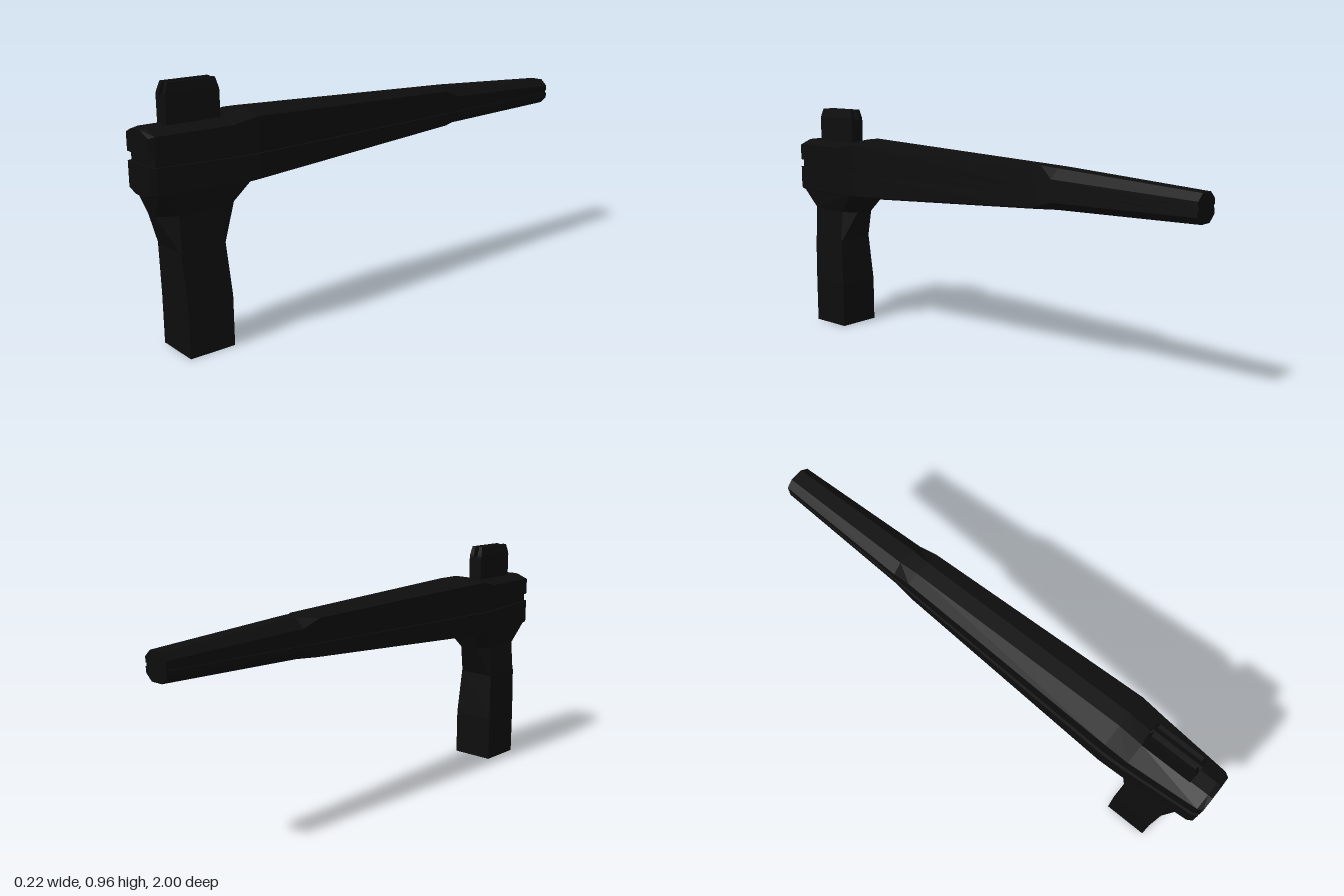
import * as THREE from 'three';

const material = new THREE.MeshStandardMaterial({ color: 0x0d0d0d, flatShading: true });

// Skin a list of closed cross-sections (arrays of [x, y, z]) and cap both ends.
function loft(name, rings) {
  const n = rings[0].length, tris = [];
  const centre = r => [0, 1, 2].map(k => r.reduce((s, p) => s + p[k], 0) / n);
  for (let i = 0; i < rings.length - 1; i++) {
    for (let j = 0; j < n; j++) {
      const a = rings[i][j], b = rings[i][(j + 1) % n];
      const c = rings[i + 1][(j + 1) % n], d = rings[i + 1][j];
      tris.push([a, b, c], [a, c, d]);
    }
  }
  const first = rings[0], last = rings[rings.length - 1];
  for (let j = 0; j < n; j++) {
    const k = (j + 1) % n;
    tris.push([first[k], first[j], centre(first)], [last[j], last[k], centre(last)]);
  }
  // Turn the faces outward if the enclosed volume comes out negative
  const v = p => new THREE.Vector3(...p);
  const volume = tris.reduce((s, [a, b, c]) => s + v(a).dot(v(b).cross(v(c))), 0);
  if (volume < 0) tris.forEach(t => t.reverse());
  const geometry = new THREE.BufferGeometry();
  geometry.setAttribute('position', new THREE.Float32BufferAttribute(tris.flat(2), 3));
  geometry.computeVertexNormals();
  const mesh = new THREE.Mesh(geometry, material);
  mesh.name = name;
  return mesh;
}

// Mirror a right-hand outline of [x, y] points into a closed section at depth z.
const mirrored = (half, z) => [
  ...half.map(([x, y]) => [x, y, z]),
  ...half.slice().reverse().map(([x, y]) => [-x, y, z]),
];

// Rectangle lying at height y.
const rect = (y, x0, x1, z0, z1) => [[x0, y, z0], [x1, y, z0], [x1, y, z1], [x0, y, z1]];

// Beam stations: z, half width, ridge half width, ridge y, shoulder y,
// groove top, groove bottom, lower shoulder y, bottom y, bottom half width
const stations = [
  [1.0, 0.075, 0.025, 0.815, 0.795, 0.73, 0.697, 0.605, 0.59, 0.03],
  [0.98, 0.085, 0.027, 0.82, 0.80, 0.73, 0.696, 0.60, 0.585, 0.04],
  [0.70, 0.108, 0.03, 0.82, 0.803, 0.735, 0.69, 0.60, 0.588, 0.09],
  [0.60, 0.112, 0.03, 0.84, 0.822, 0.735, 0.69, 0.602, 0.592, 0.09],
  [-0.34, 0.079, 0.03, 0.803, 0.793, 0.725, 0.70, 0.652, 0.645, 0.06],
  [-0.42, 0.075, 0.034, 0.799, 0.763, 0.724, 0.701, 0.678, 0.647, 0.034],
  [-1.0, 0.056, 0.027, 0.765, 0.74, 0.719, 0.707, 0.686, 0.66, 0.027],
];

export function createModel() {
  const model = new THREE.Group();
  model.name = 'bracketArm';

  // Tapered beam: two shells separated by a recessed core that forms the groove
  const beam = new THREE.Group();
  beam.name = 'beam';
  beam.add(
    loft('upperShell', stations.map(([z, w, r, top, sh, gT]) =>
      mirrored([[r, top], [w, sh], [w, gT]], z))),
    loft('lowerShell', stations.map(([z, w, r, top, sh, gT, gB, low, bot, bw]) =>
      mirrored([[w, gB], [w, low], [bw, bot]], z))),
    loft('grooveCore', stations.map(([z, w, r, top, sh, gT, gB]) => {
      const inset = 0.1 * w;
      return mirrored([[w - inset, gT + 0.005], [w - inset, gB - 0.005]], z === 1 ? 0.99 : z);
    })),
  );
  model.add(beam);

  // Flared neck: y, front half width and z, front side x and z,
  // back side x and z, back half width and z
  const neck = [
    [0.385, 0.078, 0.905, 0.08, 0.9, 0.08, 0.735, 0.078, 0.73],
    [0.515, 0.025, 0.963, 0.07, 0.9, 0.07, 0.73, 0.04, 0.665],
    [0.605, 0.04, 0.995, 0.083, 0.975, 0.111, 0.63, 0.09, 0.61],
  ];
  model.add(loft('neck', neck.map(([y, f, zf, sf, zsf, sb, zsb, b, zb]) => [
    [f, y, zf], [sf, y, zsf], [sb, y, zsb], [b, y, zb],
    [-b, y, zb], [-sb, y, zsb], [-sf, y, zsf], [-f, y, zf],
  ])));

  // Square post
  model.add(loft('post', [
    rect(0, -0.091, 0.091, 0.715, 0.895),
    rect(0.19, -0.091, 0.091, 0.715, 0.895),
    rect(0.387, -0.08, 0.08, 0.73, 0.905),
  ]));

  // Slotted lug on top
  const lug = new THREE.Group();
  lug.name = 'lug';
  lug.add(loft('lugBase', [
    rect(0.79, -0.031, 0.031, 0.7, 0.907),
    rect(0.915, -0.031, 0.031, 0.7, 0.907),
  ]));
  for (const s of [-1, 1]) {
    lug.add(loft(s > 0 ? 'leftCheek' : 'rightCheek', [
      rect(0.915, s * 0.01, s * 0.031, 0.7, 0.907),
      rect(0.925, s * 0.01, s * 0.031, 0.702, 0.905),
      rect(0.96, s * 0.01, s * 0.026, 0.712, 0.893),
    ]));
  }
  model.add(lug);

  return model;
}
